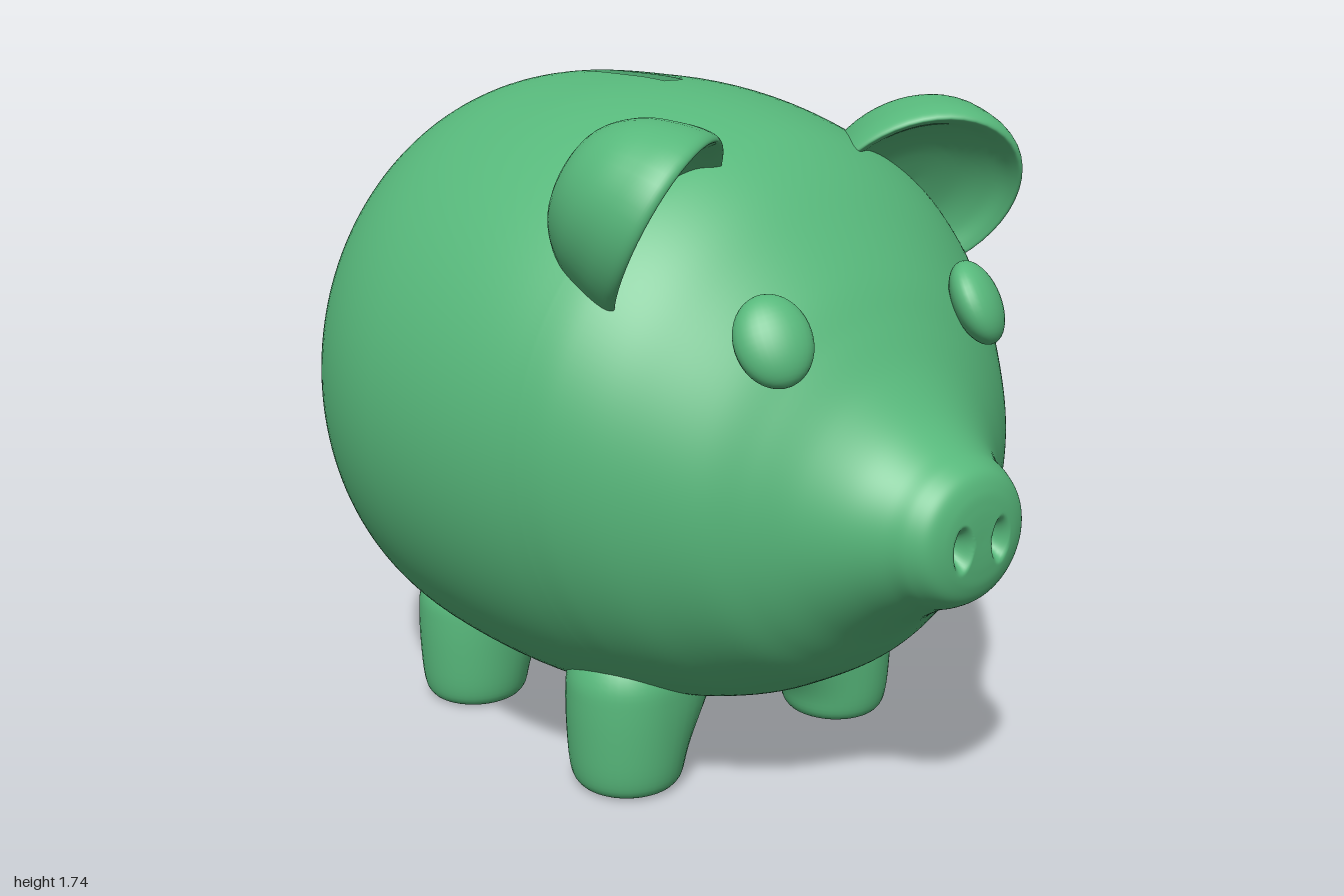
import * as THREE from 'three';

const MID_Y = 0.935, MID_Z = -0.1, RADIUS = 0.85, REAR = 0.912, FRONT = 1.11;
const SIDES = 176, STEP = Math.PI / 80, REAR_RINGS = 40, BELLY_RINGS = 12;
const { smoothstep } = THREE.MathUtils;

const material = new THREE.MeshStandardMaterial({ color: 0x57b87b });
const slotMaterial = new THREE.MeshStandardMaterial({ color: 0x57b87b, side: THREE.BackSide });

// Radius of the egg-shaped trunk at a given length position
const trunkRadius = (z) => {
  const t = (z - MID_Z) / (z < MID_Z ? REAR : FRONT);
  return RADIUS * Math.sqrt(Math.max(0, 1 - t * t));
};
const ringZ = (k) => {
  const s = Math.sin(k * STEP);
  return MID_Z + s * (s < 0 ? REAR : FRONT);
};
// Height-to-width ratio of the body: flattened in the middle, fuller towards the rump
const heightRatio = (z) => 0.947 * (1 + 0.12 * smoothstep(-z, 0.1, 0.8));

function mesh(name, geometry, mat = material) {
  const m = new THREE.Mesh(geometry, mat);
  m.name = name;
  return m;
}

// Calls rule(v) on every vertex so that it can move it
function reshape(geometry, rule) {
  const pos = geometry.attributes.position, v = new THREE.Vector3();
  for (let i = 0; i < pos.count; i++) {
    v.fromBufferAttribute(pos, i);
    rule(v, i);
    pos.setXYZ(i, v.x, v.y, v.z);
  }
  return geometry;
}

// Smooth profile through [radius, height] points
function smoothProfile(points, samples) {
  const curve = new THREE.SplineCurve(points.map(([r, h]) => new THREE.Vector2(r, h)));
  return curve.getPoints(samples).map((p) => new THREE.Vector2(Math.max(0, p.x), p.y));
}

// Recomputes lathe normals and joins them across the seam
function smoothLatheNormals(g, rings, sides) {
  g.computeVertexNormals();
  const n = g.attributes.normal, a = new THREE.Vector3(), b = new THREE.Vector3();
  for (let j = 0; j < rings; j++) {
    const k = j + sides * rings;
    a.fromBufferAttribute(n, j).add(b.fromBufferAttribute(n, k)).normalize();
    n.setXYZ(j, a.x, a.y, a.z);
    n.setXYZ(k, a.x, a.y, a.z);
  }
  return g;
}

// Body: egg trunk running into a drooping snout, with nostrils and an open coin slot
const SLOT_FROM = -7, SLOT_TO = 3;
function makeBody() {
  const profile = [];
  for (let k = -REAR_RINGS; k < BELLY_RINGS; k++) {
    profile.push(new THREE.Vector2(trunkRadius(ringZ(k)), ringZ(k)));
  }
  const neck = ringZ(BELLY_RINGS);
  profile.push(...smoothProfile([
    [trunkRadius(neck), neck], [trunkRadius(0.48), 0.48], [0.67, 0.57], [0.605, 0.65],
    [0.51, 0.75], [0.425, 0.815], [0.335, 0.88], [0.26, 0.95], [0.208, 1.02], [0.184, 1.07],
    [0.158, 1.105], [0.12, 1.122], [0.08, 1.128], [0.04, 1.13], [0, 1.13],
  ], 98));
  const rings = profile.length;
  const g = new THREE.LatheGeometry(profile, SIDES).rotateX(Math.PI / 2);
  reshape(g, (v) => {
    if (v.y < 0) v.y *= 1 + 0.035 * smoothstep(v.z, -0.1, 0.45) * (1 - smoothstep(v.z, 0.5, 0.9));
    v.y = v.y * heightRatio(v.z) + MID_Y - 0.135 * smoothstep(v.z, 0.4, 1);
    if (v.z > 1.09) {
      const d = Math.hypot((Math.abs(v.x) - 0.06) / 0.032, (v.y - 0.79) / 0.06);
      v.z -= 0.045 * (1 - smoothstep(d, 0.2, 1));
    }
  });
  smoothLatheNormals(g, rings, SIDES);
  const index = g.index.array, rows = rings - 1;
  g.setIndex([...index].filter((_, i) => {
    const quad = Math.floor(i / 6);
    const column = Math.floor(quad / rows), ring = (quad % rows) - REAR_RINGS;
    const inSlot = Math.abs(column + 0.5 - SIDES / 2) < 1 && ring >= SLOT_FROM && ring < SLOT_TO;
    return !inSlot;
  }));
  return g;
}

// Walls and floor inside the coin slot
function makeSlot() {
  const z0 = ringZ(SLOT_FROM), z1 = ringZ(SLOT_TO);
  const width = 2 * RADIUS * Math.sin((2 * Math.PI) / SIDES);
  const g = new THREE.BoxGeometry(width, 1, z1 - z0, 1, 1, 10);
  const top = g.groups[2];
  g.setIndex([...g.index.array].filter((_, i) => i < top.start || i >= top.start + top.count));
  g.clearGroups();
  return reshape(g, (v) => {
    v.z += (z0 + z1) / 2;
    v.y = v.y > 0 ? MID_Y + trunkRadius(v.z) * heightRatio(v.z) : MID_Y + 0.5;
  });
}

// Cupped ear: a shallow bowl opening forward and inward
function makeEar(s) {
  const g = new THREE.LatheGeometry(smoothProfile([
    [0, -0.27], [0.5, -0.235], [0.8, -0.16], [0.95, -0.07], [1, -0.01], [0.97, 0.015],
    [0.9, 0.005], [0.75, -0.03], [0.45, -0.06], [0, -0.07],
  ], 48), 48);
  const across = new THREE.Vector3(0.72, -0.69 * s, 0.04 * s).normalize();
  const up = new THREE.Vector3(0.47 * s, 0.57, 0.67);
  const opening = new THREE.Vector3().crossVectors(across, up).normalize();
  const down = new THREE.Vector3().crossVectors(across, opening);
  const m = new THREE.Matrix4().makeBasis(
    across.multiplyScalar(0.235), opening, down.multiplyScalar(0.285));
  m.setPosition(0.405 * s, 1.45, 0.5);
  return g.applyMatrix4(m);
}

// Stubby leg, straight outside and flaring inward under the belly
function makeLeg(s) {
  const profile = smoothProfile([
    [0, 0], [0.1, 0], [0.133, 0.013], [0.148, 0.055], [0.155, 0.14],
    [0.157, 0.24], [0.15, 0.31], [0.115, 0.37], [0.05, 0.41],
  ], 32);
  const g = new THREE.LatheGeometry(profile, 40);
  reshape(g, (v) => {
    if (v.x * s < 0) v.x *= 1 + 0.6 * smoothstep(v.y, 0.05, 0.28);
  });
  return smoothLatheNormals(g, profile.length, 40);
}

// Curled tail: a tapering conical coil with a round tip
function makeTail() {
  const steps = 110, around = 20, turns = 1.75;
  const points = [];
  for (let i = 0; i <= 40; i++) {
    const t = i / 40, a = t * turns * Math.PI * 2, r = 0.072 * (1 - t) + 0.012;
    points.push(new THREE.Vector3(r * Math.cos(a), r * Math.sin(a), 0.18 * t - 0.06));
  }
  const curve = new THREE.CatmullRomCurve3(points);
  const g = new THREE.TubeGeometry(curve, steps, 0.105, around);
  const centre = new THREE.Vector3();
  reshape(g, (v, i) => {
    const t = Math.floor(i / (around + 1)) / steps;
    curve.getPointAt(t, centre);
    v.sub(centre).multiplyScalar(1 - 0.4 * t).add(centre);
  });
  const tail = new THREE.Group();
  tail.name = 'tail';
  const tip = mesh('tailTip', new THREE.SphereGeometry(0.063, 20, 14));
  tip.position.copy(curve.getPointAt(1));
  tail.add(mesh('tailCoil', g), tip);
  tail.position.set(0.015, 1.28, -0.965);
  tail.lookAt(-0.03, 1.335, -1.145);
  return tail;
}

export function createModel() {
  const root = new THREE.Group();
  root.name = 'piggyBank';
  const pig = new THREE.Group();
  pig.name = 'pig';
  root.add(pig);

  pig.add(mesh('body', makeBody()), mesh('coinSlot', makeSlot(), slotMaterial), makeTail());

  for (const [side, s] of [['left', 1], ['right', -1]]) {
    pig.add(mesh(side + 'Ear', makeEar(s)));

    const eye = mesh(side + 'Eye', new THREE.SphereGeometry(1, 32, 20));
    eye.scale.set(0.09, 0.108, 0.055);
    eye.position.set(0.33 * s + 0.012, 1.235, 0.778);
    eye.lookAt(eye.position.x + 0.42 * s, 1.235 + 0.45, 0.778 + 0.75);
    eye.rotateZ(-0.22 * s);
    pig.add(eye);

    for (const [end, x, z] of [['Front', 0.363, 0.3], ['Back', 0.375, -0.4]]) {
      const leg = mesh(side + end + 'Leg', makeLeg(s));
      leg.position.set(x * s, 0, z);
      pig.add(leg);
    }
  }

  // The pig stands turned towards its left
  pig.rotation.y = THREE.MathUtils.degToRad(33);
  pig.position.set(0.02, 0, -0.013);
  return root;
}
